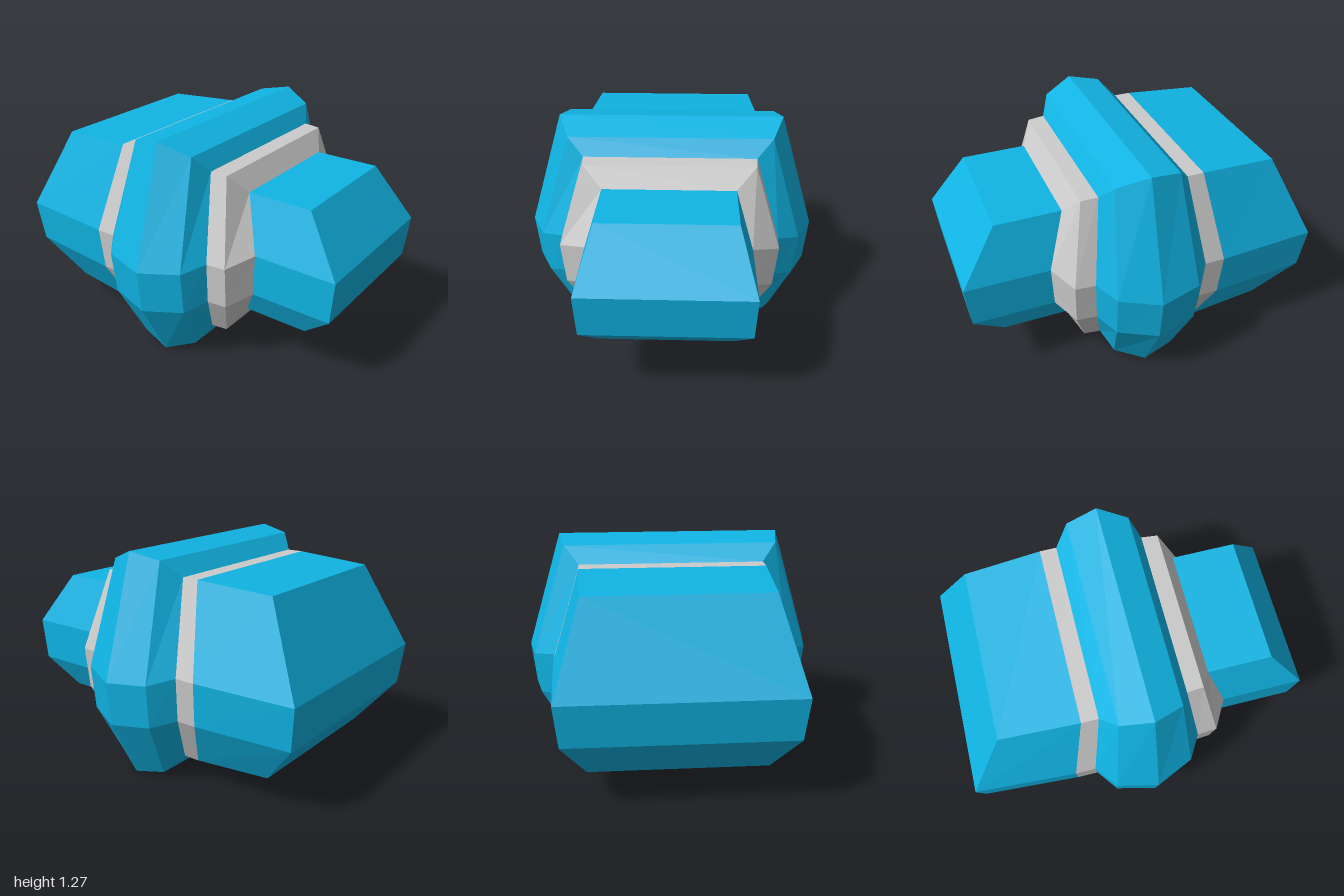
import * as THREE from 'three';

// Each ring lists its +x corners from top to bottom: [x, y, z].
const noseFront = [[0.365, 1.0, 0.79], [0.46, 0.695, 1.0], [0.45, 0.45, 0.975], [0.365, 0.28, 0.79]];
const noseBack = [[0.365, 1.0, 0.42], [0.46, 0.695, 0.525], [0.45, 0.45, 0.51], [0.365, 0.28, 0.42]];
const collarRim = [[0.472, 1.11, 0.35], [0.612, 0.655, 0.44], [0.59, 0.41, 0.43], [0.472, 0.17, 0.35]];
const collarBack = [[0.48, 1.115, 0.255], [0.618, 0.65, 0.325], [0.597, 0.405, 0.315], [0.48, 0.165, 0.255]];
const hullFront = [[0.57, 1.21, 0.2], [0.745, 0.62, 0.25], [0.72, 0.37, 0.245], [0.57, 0.07, 0.2]];
const hullMiddle = [[0.635, 1.275, 0.03], [0.84, 0.6, 0.03], [0.815, 0.35, 0.03], [0.635, 0, 0.03]];
const hullBack = [[0.6, 1.24, -0.15], [0.79, 0.62, -0.205], [0.765, 0.375, -0.2], [0.6, 0.035, -0.15]];
const bandFront = [[0.515, 1.15, -0.235], [0.668, 0.65, -0.305], [0.645, 0.4, -0.295], [0.515, 0.13, -0.235]];
const bandBack = [[0.515, 1.15, -0.33], [0.668, 0.65, -0.42], [0.645, 0.4, -0.41], [0.515, 0.13, -0.33]];
const tailBack = [[0.49, 1.125, -0.77], [0.632, 0.65, -1.0], [0.61, 0.41, -0.975], [0.49, 0.155, -0.77]];

const mirror = ([x, y, z]) => [-x, y, z];

// Skins a front-to-back run of rings, with optional faceted end caps.
function loft(name, rings, color, { capFront = false, capBack = false } = {}) {
  const positions = [];
  const quad = (a, b, c, d) => positions.push(...a, ...b, ...c, ...a, ...c, ...d);

  const loops = rings.map((r) => [r[0], ...r.map(mirror), r[3], r[2], r[1]]);
  for (let k = 0; k < loops.length - 1; k++) {
    const front = loops[k], back = loops[k + 1];
    for (let i = 0; i < 8; i++) {
      const j = (i + 1) % 8;
      quad(front[i], back[i], back[j], front[j]);
    }
  }

  const first = rings[0], last = rings[rings.length - 1];
  for (let i = 0; i < 3; i++) {
    if (capFront) quad(mirror(first[i]), mirror(first[i + 1]), first[i + 1], first[i]);
    if (capBack) quad(last[i], last[i + 1], mirror(last[i + 1]), mirror(last[i]));
  }

  const geometry = new THREE.BufferGeometry();
  geometry.setAttribute('position', new THREE.Float32BufferAttribute(positions, 3));
  geometry.computeVertexNormals();
  const mesh = new THREE.Mesh(geometry, new THREE.MeshStandardMaterial({ color, flatShading: true }));
  mesh.name = name;
  return mesh;
}

export function createModel() {
  const blue = 0x10b4e4, grey = 0xcccccc;
  const model = new THREE.Group();
  model.name = 'facetedPod';
  model.add(
    loft('nose', [noseFront, noseBack], blue, { capFront: true }),
    loft('frontCollar', [noseBack, collarRim, collarBack], grey),
    loft('hull', [collarBack, hullFront, hullMiddle, hullBack, bandFront], blue),
    loft('rearBand', [bandFront, bandBack], grey),
    loft('tail', [bandBack, tailBack], blue, { capBack: true }),
  );
  return model;
}
